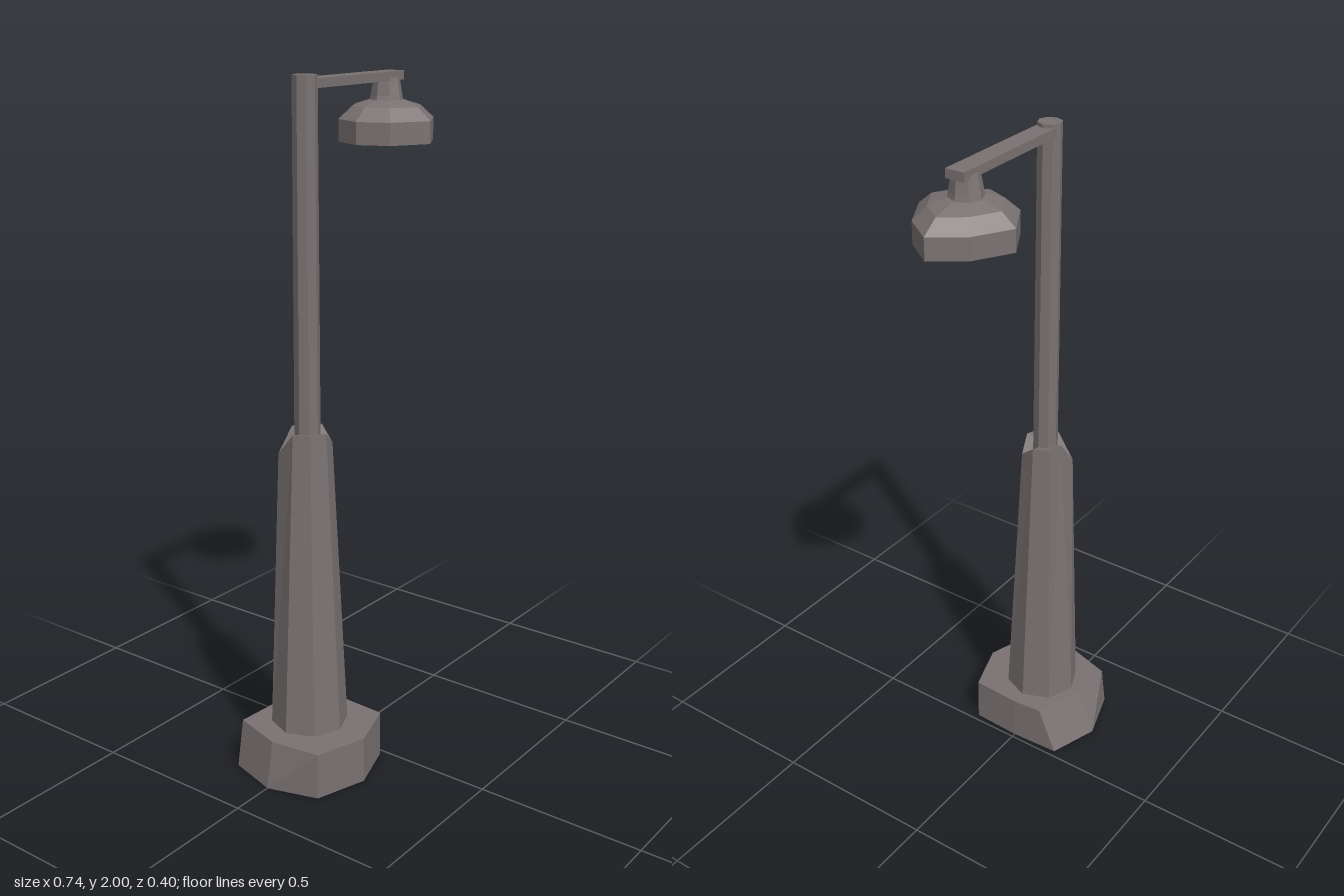
import * as THREE from 'three';

const SIDES = 8;
const metal = new THREE.MeshStandardMaterial({ color: 0x7a7272, flatShading: true });

// Ring of points, running from +x towards -z
function ring(x, y, rx, rz = rx) {
  return Array.from({ length: SIDES }, (_, i) => {
    const a = (i / SIDES) * Math.PI * 2;
    return [x + rx * Math.cos(a), y, -rz * Math.sin(a)];
  });
}

// Closed skin through a list of rings, with a cap at each end
function loft(name, rings) {
  const pos = [];
  const tri = (a, b, c) => pos.push(...a, ...b, ...c);
  const centre = r => [0, 1, 2].map(k => r.reduce((s, p) => s + p[k], 0) / r.length);
  const first = rings[0], last = rings[rings.length - 1];
  const c0 = centre(first), c1 = centre(last);
  for (let i = 0; i < SIDES; i++) {
    const j = (i + 1) % SIDES;
    for (let k = 0; k < rings.length - 1; k++) {
      const lo = rings[k], hi = rings[k + 1];
      tri(lo[i], lo[j], hi[j]);
      tri(lo[i], hi[j], hi[i]);
    }
    tri(c0, first[j], first[i]);
    tri(c1, last[i], last[j]);
  }
  const geo = new THREE.BufferGeometry();
  geo.setAttribute('position', new THREE.Float32BufferAttribute(pos, 3));
  geo.computeVertexNormals();
  const mesh = new THREE.Mesh(geo, metal);
  mesh.name = name;
  return mesh;
}

export function createModel() {
  const group = new THREE.Group();
  group.name = 'streetLamp';
  const postX = -0.17, lampX = 0.195;

  // Rough-hewn foot: upright at the front, sloping at the back and left
  const at = (y, pts) => pts.map(([x, z]) => [x, y, z]);
  group.add(loft('base', [
    at(0, [[-0.013, 0], [-0.02, -0.15], [-0.17, -0.2], [-0.325, -0.15],
      [-0.37, 0], [-0.325, 0.15], [-0.17, 0.2], [-0.02, 0.15]]),
    at(0.14, [[-0.013, 0], [-0.02, -0.09], [-0.17, -0.14], [-0.3, -0.15],
      [-0.345, 0], [-0.325, 0.15], [-0.17, 0.2], [-0.02, 0.15]]),
  ]));

  // Tapered shaft with two chipped corners at the top
  const shaftTop = ring(postX, 1.04, 0.066);
  shaftTop[2] = [postX, 1.04, -0.056];
  shaftTop[3] = [-0.221, 0.97, -0.064];
  shaftTop[7] = [-0.121, 1.0, 0.05];
  group.add(loft('shaft', [ring(postX, 0.13, 0.113), shaftTop]));

  // Slim upper pole
  group.add(loft('pole', [ring(postX, 0.95, 0.037), ring(postX, 2, 0.034)]));

  // Horizontal arm
  const arm = new THREE.Mesh(new THREE.BoxGeometry(0.41, 0.025, 0.056), metal);
  arm.name = 'arm';
  arm.position.set(0.035, 1.978, 0);
  group.add(arm);

  // Flared stem below the arm
  group.add(loft('lampStem', [
    ring(lampX, 1.895, 0.052, 0.05), ring(lampX, 1.925, 0.045), ring(lampX, 1.975, 0.04, 0.034),
  ]));

  // Lamp shade, hollow underneath and pointed at its far end
  const shadeRing = (y, s) => {
    const r = ring(lampX, y, 0.149 * s);
    r[0][0] = lampX + 0.17 * s;
    r[4][0] = lampX - 0.142 * s;
    r.forEach((p, i) => { if (i % 2) p[2] *= 0.84; });
    return r;
  };
  group.add(loft('lampShade', [
    shadeRing(1.84, 0.7), shadeRing(1.8, 0.84), shadeRing(1.8, 1),
    shadeRing(1.862, 1), shadeRing(1.897, 0.72), shadeRing(1.913, 0.36),
  ]));

  return group;
}
